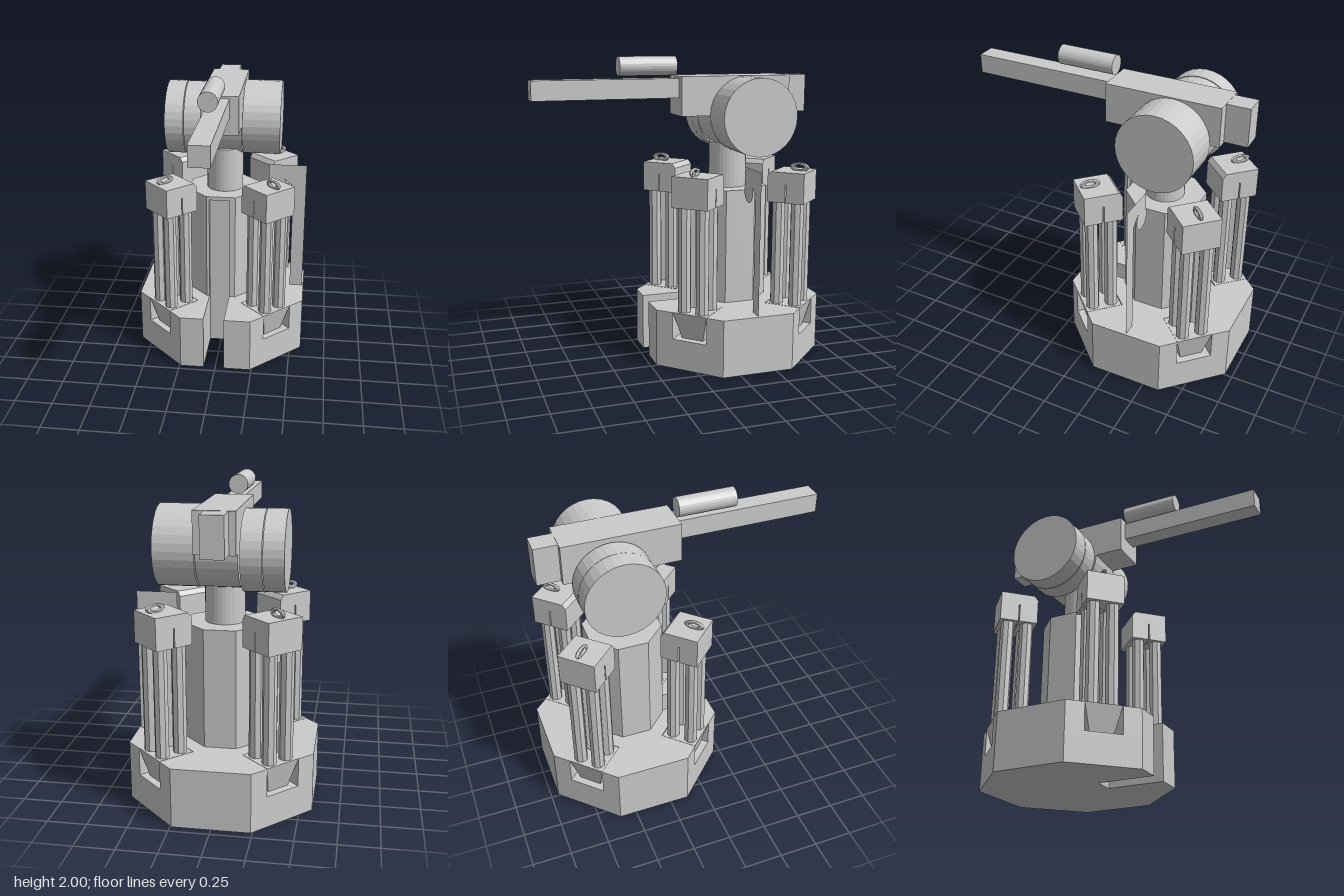
import * as THREE from 'three';

const CZ = -0.37; // z of the tower axis
const grey = new THREE.MeshStandardMaterial({ color: 0xcccccc, flatShading: true, side: THREE.DoubleSide });

function add(parent, name, geometry, x = 0, y = 0, z = 0) {
  const mesh = new THREE.Mesh(geometry, grey);
  mesh.name = name;
  mesh.position.set(x, y, z);
  parent.add(mesh);
  return mesh;
}

// Box given by its limits on each axis
function box(parent, name, x0, x1, y0, y1, z0, z1) {
  return add(parent, name, new THREE.BoxGeometry(x1 - x0, y1 - y0, z1 - z0),
    (x0 + x1) / 2, (y0 + y1) / 2, (z0 + z1) / 2);
}

// Drum lying along x
function drum(parent, name, x0, x1, y, z, r) {
  const g = new THREE.CylinderGeometry(r, r, x1 - x0, 32).rotateZ(Math.PI / 2);
  return add(parent, name, g, (x0 + x1) / 2, y, z);
}

// Octagonal slab, optionally with a front slot and notches in the diagonal faces
function octagonSlab(parent, name, apothem, y0, y1, slot, notched) {
  const pts = [];
  const R = apothem / Math.cos(Math.PI / 8);
  if (slot) pts.push([0.06, -0.2], [0.06, -apothem]);
  for (let k = 0; k < 8; k++) {
    const a = (-67.5 + 45 * k) * Math.PI / 180;
    pts.push([R * Math.cos(a), R * Math.sin(a)]);
    if (notched && k % 2 === 0) {
      const f = (-45 + 45 * k) * Math.PI / 180, c = Math.cos(f), s = Math.sin(f);
      for (const [d, t] of [[apothem, -0.12], [0.335, -0.12], [0.335, 0.12], [apothem, 0.12]]) {
        pts.push([d * c - t * s, d * s + t * c]);
      }
    }
  }
  if (slot) pts.push([-0.08, -apothem], [-0.08, -0.2]);
  const shape = new THREE.Shape(pts.map(p => new THREE.Vector2(...p)));
  const g = new THREE.ExtrudeGeometry(shape, { depth: y1 - y0, bevelEnabled: false });
  return add(parent, name, g.rotateX(-Math.PI / 2), 0, y0, CZ);
}

// Corner pillar; local +z points away from the tower
function pillar(angle) {
  const p = new THREE.Group();
  p.name = 'cornerPillar';

  // tapered square foot
  const foot = new THREE.CylinderGeometry(0.12 * Math.SQRT2, 0.075 * Math.SQRT2, 0.18, 4, 1);
  add(p, 'foot', foot.rotateY(Math.PI / 4), 0, 0.292, 0);

  // four tubes
  for (const x of [-0.064, 0.064]) for (const z of [-0.064, 0.064]) {
    add(p, 'tube', new THREE.CylinderGeometry(0.044, 0.044, 0.71, 8), x, 0.725, z);
  }

  // head with a bevelled inner edge and a thin slit
  const profile = [[-0.124, 1.07], [-0.004, 1.07], [-0.004, 1.19], [0.004, 1.19], [0.004, 1.07],
    [0.124, 1.07], [0.124, 1.27], [-0.1, 1.27], [-0.124, 1.24]];
  const head = new THREE.ExtrudeGeometry(
    new THREE.Shape(profile.map(q => new THREE.Vector2(...q))), { depth: 0.248, bevelEnabled: false });
  add(p, 'head', head.rotateY(-Math.PI / 2), 0.124, 0, 0);

  // lifting eye
  const eye = new THREE.TorusGeometry(0.047, 0.02, 6, 16).rotateY(Math.PI / 2);
  add(p, 'liftingEye', eye.scale(0.6, 0.47, 1), 0, 1.293, 0.05);

  p.position.set(0.46 * Math.sin(angle), 0, CZ + 0.46 * Math.cos(angle));
  p.rotation.y = angle;
  return p;
}

export function createModel() {
  const model = new THREE.Group();
  model.name = 'turret';

  // base and column with the doorway slot
  octagonSlab(model, 'lowerBase', 0.58, 0, 0.2, true, false);
  octagonSlab(model, 'upperBase', 0.58, 0.2, 0.38, true, true);
  octagonSlab(model, 'column', 0.24, 0.38, 1.115, true, false);
  octagonSlab(model, 'columnCap', 0.24, 1.115, 1.14, false, false);

  for (let i = 0; i < 4; i++) model.add(pillar(Math.PI / 4 + i * Math.PI / 2));

  // neck and gun head
  add(model, 'neck', new THREE.CylinderGeometry(0.125, 0.125, 0.3, 32), 0.005, 1.29, -0.365);
  const gun = new THREE.Group();
  gun.name = 'gunHead';
  model.add(gun);
  box(gun, 'receiver', -0.12, 0.13, 1.62, 1.875, -0.75, 0);
  box(gun, 'rearBlock', -0.08, 0.06, 1.625, 1.873, -0.9, -0.75);
  box(gun, 'barrel', -0.055, 0.07, 1.735, 1.86, 0, 0.95);
  const scope = new THREE.CylinderGeometry(0.062, 0.062, 0.38, 24).rotateX(Math.PI / 2);
  add(gun, 'scope', scope, -0.02, 1.938, 0.19);
  drum(gun, 'centreDrum', -0.12, 0.13, 1.62, -0.44, 0.247);
  drum(gun, 'leftDrum', 0.135, 0.385, 1.622, -0.443, 0.25);
  drum(gun, 'rightInnerDrum', -0.26, -0.132, 1.602, -0.45, 0.25);
  drum(gun, 'rightOuterDrum', -0.39, -0.265, 1.604, -0.45, 0.25);

  // thin flat lamp post on the left side
  const post = new THREE.Shape([[0.48, 0.38], [0.57, 0.38], [0.57, 1.305], [0.31, 1.305],
    [0.31, 1.2], [0.42, 1.2], [0.48, 1.15]].map(q => new THREE.Vector2(...q)));
  add(model, 'lampPost', new THREE.ShapeGeometry(post), 0, 0, CZ);
  add(model, 'lamp', new THREE.CircleGeometry(0.07, 20), 0.37, 1.15, CZ - 0.001);

  return model;
}
